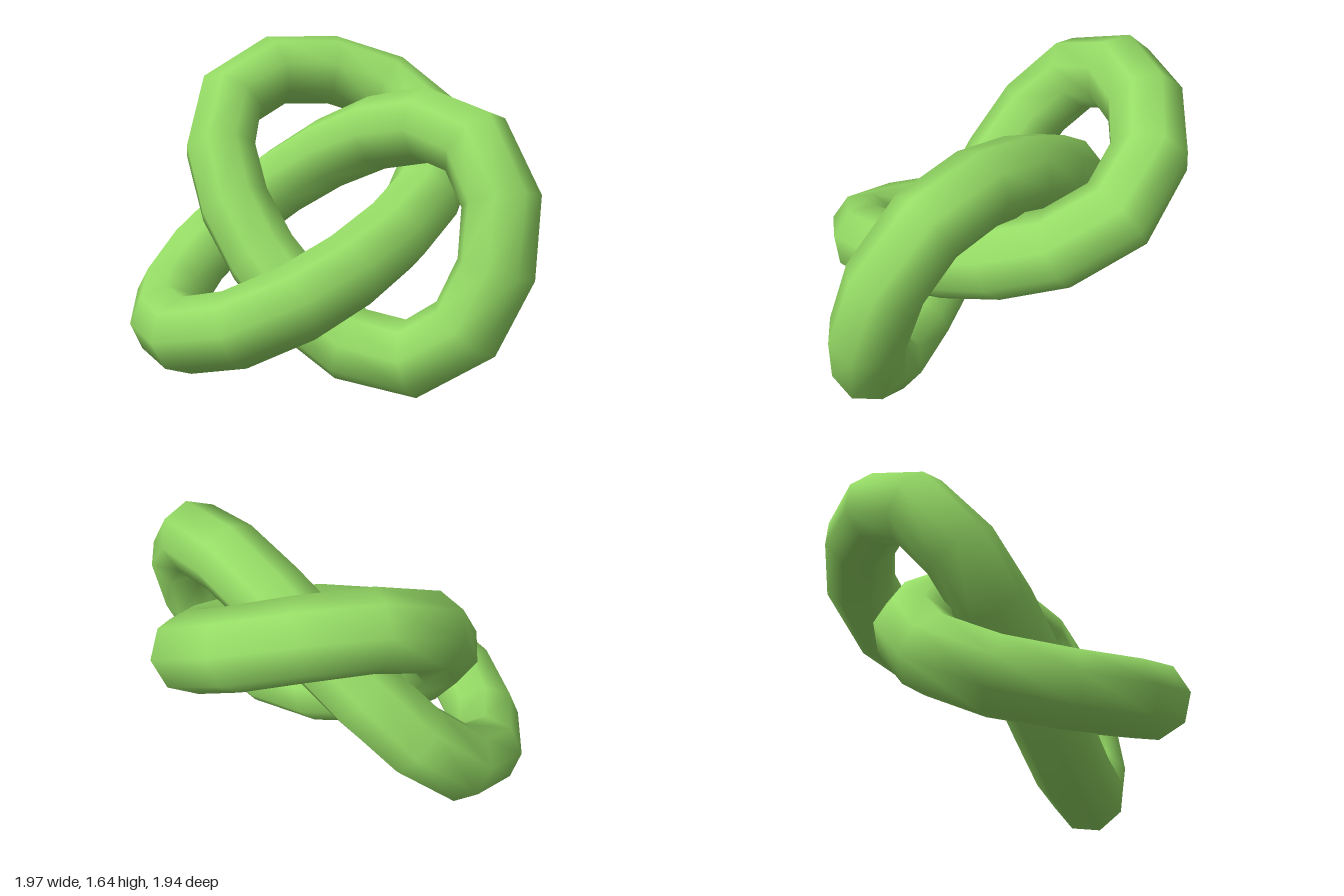
import * as THREE from 'three';

// Closed trefoil path with three equal, rounded lobes around a tilted axis
class TrefoilCurve extends THREE.Curve {
  constructor() {
    super();
    this.center = new THREE.Vector3(0.07, 0.765, -0.04);
    this.e1 = new THREE.Vector3(-0.85, -0.53, -0.09).normalize(); // towards the first lobe
    this.e2 = new THREE.Vector3(0.18, -0.44, 0.88).normalize();
    this.axis = new THREE.Vector3().crossVectors(this.e1, this.e2).normalize();
  }

  getPoint(t, target = new THREE.Vector3()) {
    const a = t * Math.PI * 2;
    const big = 0.74, small = 0.3, widen = 0.03, weave = 0.265;
    return target.copy(this.center)
      .addScaledVector(this.e1, big * Math.cos(2 * a) + small * Math.cos(a) - widen * Math.cos(4 * a))
      .addScaledVector(this.e2, big * Math.sin(2 * a) - small * Math.sin(a) + widen * Math.sin(4 * a))
      .addScaledVector(this.axis, weave * Math.sin(3 * a));
  }
}

export function createModel() {
  const group = new THREE.Group();
  group.name = 'trefoilKnot';

  // Low-sided tube with smooth normals, joined end to end
  const knot = new THREE.Mesh(
    new THREE.TubeGeometry(new TrefoilCurve(), 30, 0.197, 8, true),
    new THREE.MeshStandardMaterial({ color: 0x96dc66 })
  );
  knot.name = 'knotTube';
  group.add(knot);
  return group;
}
